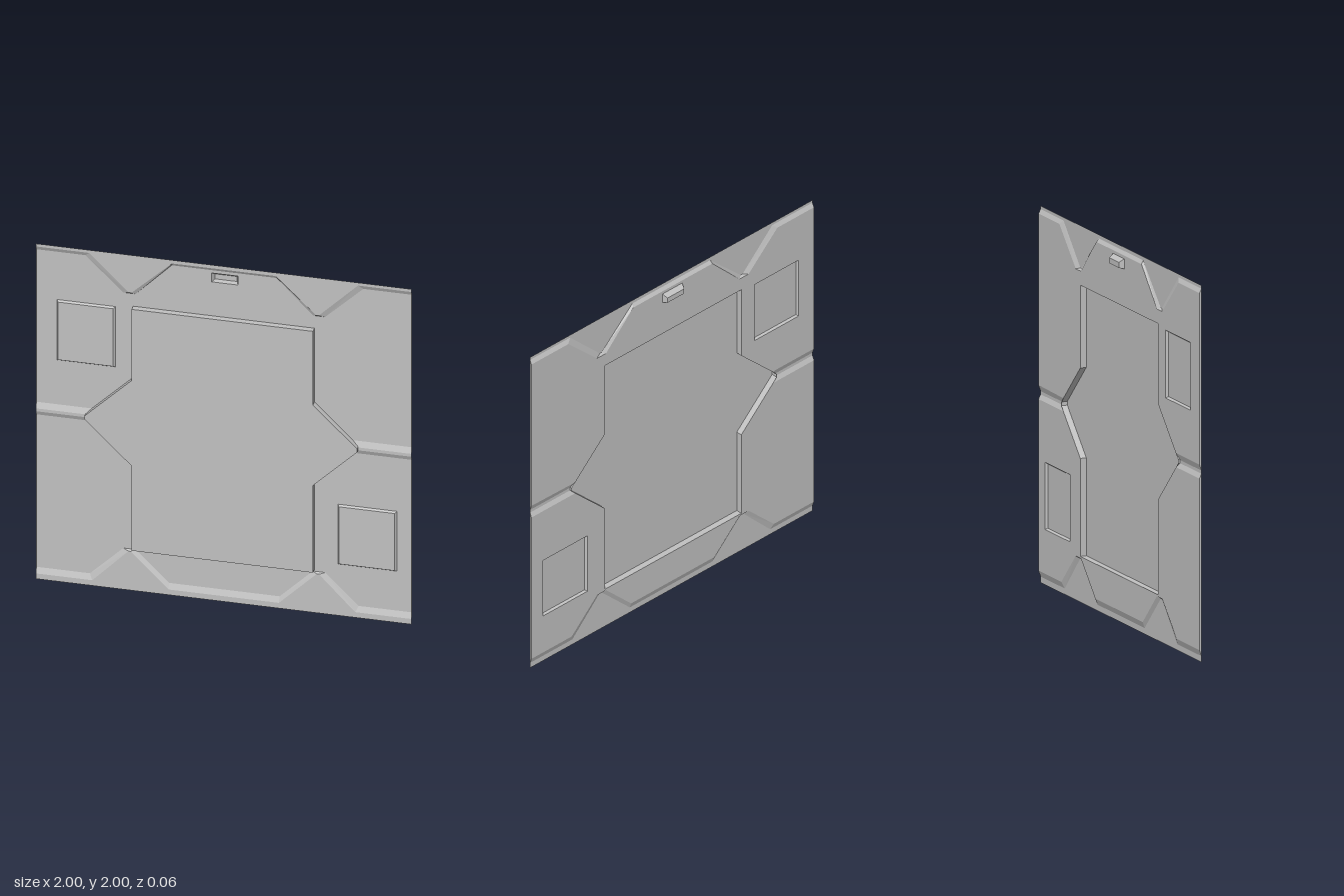
import * as THREE from 'three';

// Depth levels of the pressed sheet
const BASE = -0.004, SEAM = 0.008, FACE = 0.03, BACK = -0.03;

export function createModel() {
  const model = new THREE.Group();
  model.name = 'wallPanel';
  const grey = new THREE.MeshStandardMaterial({ color: 0xc0c0c0, side: THREE.DoubleSide });
  grey.name = 'panelGrey';

  const add = (name, geometry) => {
    const mesh = new THREE.Mesh(geometry, grey);
    mesh.name = name;
    model.add(mesh);
  };
  const vecs = pts => pts.map(([x, y]) => new THREE.Vector2(x, y));

  // Flat face at depth z, with optional holes
  function plate(name, pts, z, holes = []) {
    const shape = new THREE.Shape(vecs(pts));
    holes.forEach(h => shape.holes.push(new THREE.Path(vecs(h))));
    add(name, new THREE.ShapeGeometry(shape).translate(0, 0, z));
  }

  // Faceted wall joining two matching outlines at two depths
  function wall(name, a, za, b, zb, closed = false) {
    const pos = [];
    const n = a.length;
    for (let i = 0; i < (closed ? n : n - 1); i++) {
      const j = (i + 1) % n;
      const p = [...a[i], za], q = [...a[j], za], r = [...b[j], zb], s = [...b[i], zb];
      // wind each quad so that it faces the front
      const turn = (q[0] - p[0]) * (r[1] - p[1]) - (q[1] - p[1]) * (r[0] - p[0]);
      pos.push(...(turn >= 0 ? [p, q, r, p, r, s] : [p, r, q, p, s, r]).flat());
    }
    const g = new THREE.BufferGeometry();
    g.setAttribute('position', new THREE.Float32BufferAttribute(pos, 3));
    g.computeVertexNormals();
    add(name, g);
  }

  const rect = (x0, x1, y0, y1) => [[x0, y0], [x1, y0], [x1, y1], [x0, y1]];
  const mirrored = half => [...half, ...half.map(([x, y]) => [-x, y]).reverse()];

  // Stepped borders, left to right: low edge of the sheet and raised edge of the rim
  const topLow = mirrored([[-1, 1.96], [-0.74, 1.96], [-0.537, 1.765], [-0.472, 1.765], [-0.28, 1.962]]);
  const topHigh = mirrored([[-1, 1.983], [-0.715, 1.983], [-0.505, 1.775], [-0.492, 1.775], [-0.275, 1.98]]);
  const lowLow = mirrored([[-1, 0.065], [-0.715, 0.065], [-0.537, 0.24], [-0.472, 0.24], [-0.295, 0.065]]);
  const lowHigh = mirrored([[-1, 0.032], [-0.7, 0.032], [-0.507, 0.232], [-0.495, 0.232], [-0.293, 0.032]]);

  // Centre panel outline, split at the side wings
  const upperEdge = [[0.69, 1.045], [0.48, 1.25], [0.48, 1.69], [-0.485, 1.69], [-0.485, 1.265], [-0.705, 1.05]];
  const lowerEdge = [[-0.71, 0.975], [-0.485, 0.755], [-0.485, 0.25], [0.48, 0.25], [0.48, 0.77], [0.69, 0.975]];
  const panel = [[0.715, 1.02], ...upperEdge, [-0.735, 1.02], [-0.735, 1.0], ...lowerEdge, [0.715, 1.0]];
  plate('centrePanelFace', panel, FACE);
  wall('centrePanelSides', panel, BASE, panel, FACE, true);

  // Embossed hatches and the handle pocket
  const inset = (x0, x1, y0, y1, d) => rect(x0 + d, x1 - d, y0 + d, y1 - d);
  const hatches = [[-0.89, -0.58, 1.315, 1.675], [0.605, 0.918, 0.3, 0.657]];
  hatches.forEach(h => {
    const inner = inset(...h, 0.008);
    wall('hatchBevel', rect(...h), BASE, inner, SEAM, true);
    plate('hatchFace', inner, SEAM);
  });
  const pocket = rect(-0.067, 0.073, 1.892, 1.945);
  const pocketFloor = rect(-0.056, 0.062, 1.897, 1.927);
  wall('handlePocketSides', pocket, BASE, pocketFloor, BACK, true);
  plate('handlePocketFloor', pocketFloor, BACK);

  // Main sheet, above and below the side ridges
  plate('upperSheet', [[-1, 1.05], ...topLow, [1, 1.05], ...upperEdge], BASE, [rect(...hatches[0]), pocket]);
  plate('lowerSheet', [[-1, 0.975], ...lowLow, [1, 0.975], ...[...lowerEdge].reverse()], BASE, [rect(...hatches[1])]);

  // Raised rims with notched edges
  wall('topRimSlope', topLow, BASE, topHigh, SEAM);
  plate('topRim', [...topHigh, [1, 2], [-1, 2]], SEAM);
  wall('bottomRimSlope', lowLow, BASE, lowHigh, SEAM);
  plate('bottomRim', [...lowHigh, [1, 0], [-1, 0]], SEAM);

  for (const [side, reach] of [[-1, 0.02], [1, 0]]) {
    // Side ridge running from the wing tip to the edge
    const ridge = (y, x) => [[side * (x + reach), y], [side, y]];
    const rows = [ridge(1.05, 0.685), ridge(1.017, 0.715), ridge(1.0, 0.715), ridge(0.975, 0.69)];
    wall('sideRidgeTop', rows[0], BASE, rows[1], SEAM);
    wall('sideRidgeCrest', rows[1], SEAM, rows[2], SEAM);
    wall('sideRidgeBottom', rows[2], SEAM, rows[3], BASE);

    // Narrow flanges along the side edge
    for (const [l0, l1, h0, h1] of [[0.065, 0.975, 0.032, 1.0], [1.05, 1.96, 1.017, 1.983]]) {
      const shape = new THREE.Shape(vecs([[-BASE, l0], [-SEAM, h0], [-SEAM, h1], [-BASE, l1]]));
      const g = new THREE.ShapeGeometry(shape).rotateY(Math.PI / 2).translate(side, 0, 0);
      add('sideFlange', g);
    }
  }
  return model;
}
